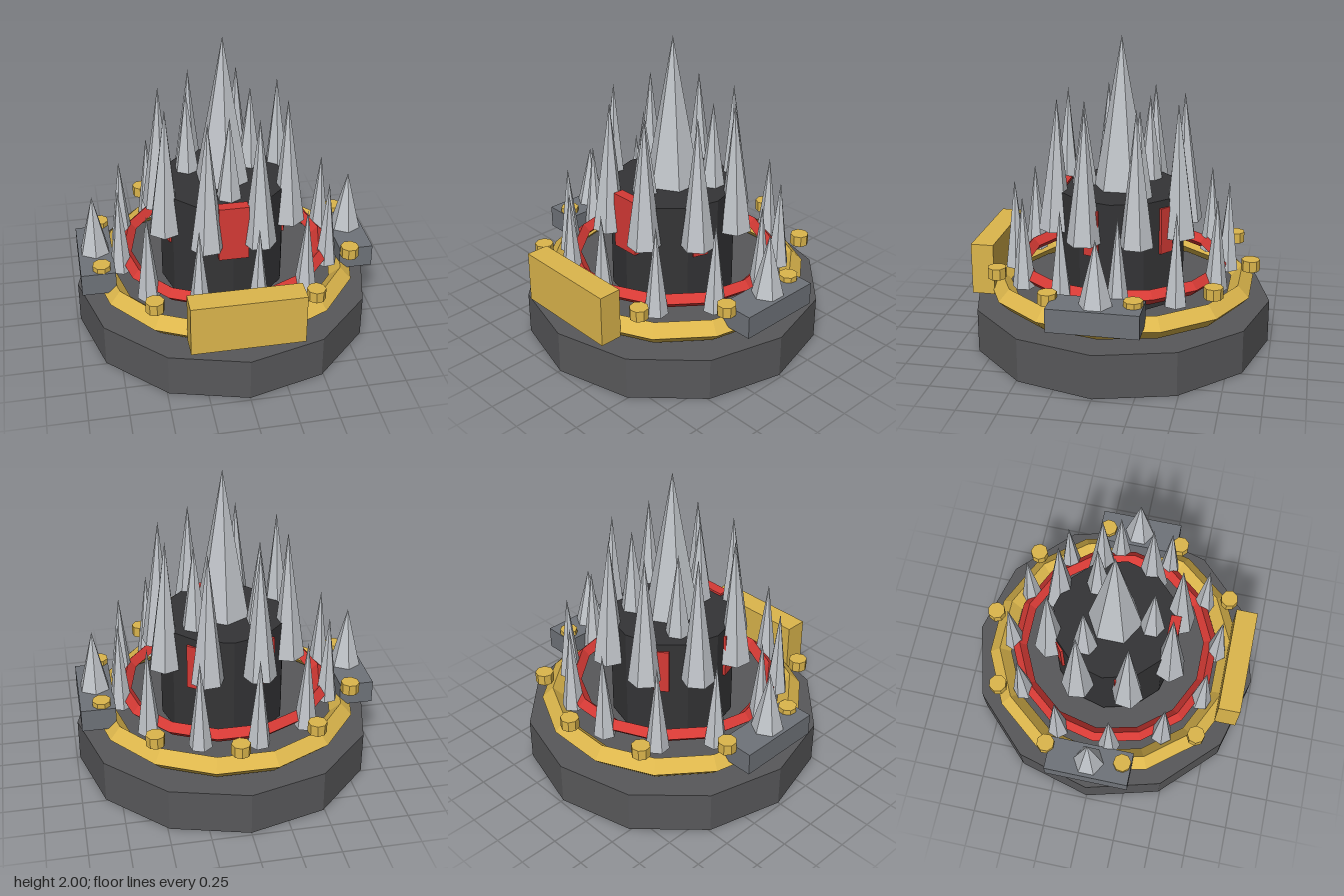
import * as THREE from 'three';

const material = (color) => new THREE.MeshStandardMaterial({ color, flatShading: true });

export function createModel() {
  const model = new THREE.Group();
  const stone = material(0x58585a);
  const dark = material(0x343436);
  const gold = material(0xdcb64c);
  const red = material(0xd63a35);
  const steel = material(0xc2c6cb);
  const slate = material(0x6f7379);

  function add(name, geometry, mat, x, y, z) {
    const mesh = new THREE.Mesh(geometry, mat);
    mesh.name = name;
    mesh.position.set(x, y, z);
    model.add(mesh);
    return mesh;
  }

  // Six-sided spike standing on bottom and ending at tip
  function spike(name, x, z, radius, bottom, tip) {
    return add(name, new THREE.ConeGeometry(radius, tip - bottom, 6), steel, x, (bottom + tip) / 2, z);
  }

  // Flat ring with a diamond cross-section
  function ring(name, radius, tube, mat, y) {
    add(name, new THREE.TorusGeometry(radius, tube, 4, 14).rotateX(Math.PI / 2), mat, 0, y, 0);
  }

  // Calls fn(x, z, angle) for points round the middle, angle from +x towards +z
  function around(count, radius, startDegrees, fn) {
    for (let i = 0; i < count; i++) {
      const a = THREE.MathUtils.degToRad(startDegrees) + (i / count) * Math.PI * 2;
      fn(Math.cos(a) * radius, Math.sin(a) * radius, a);
    }
  }

  // Base, rings and core
  add('base', new THREE.CylinderGeometry(0.98, 0.98, 0.285, 12), stone, 0, 0.1425, 0);
  ring('goldRing', 0.805, 0.074, gold, 0.379);
  ring('redRing', 0.658, 0.048, red, 0.512);
  add('core', new THREE.CylinderGeometry(0.41, 0.41, 0.71, 12), dark, 0, 0.665, 0);

  // Spikes: centre, three on the core, eight round the core, twelve on the rim
  spike('centreSpike', 0, 0, 0.183, 1.0, 2.0);
  for (const [x, z] of [[0, 0.245], [0.208, -0.152], [-0.208, -0.152]]) {
    spike('crownSpike', x, z, 0.087, 0.98, 1.575);
  }
  around(8, 0.427, 22.5, (x, z, a) => {
    const s = spike('coreSpike', x, z, 0.108, 0.76, 1.62);
    s.rotation.order = 'YXZ';
    s.rotation.set(-0.025, Math.PI / 2 - a, 0); // slight inward lean
  });
  around(12, 0.698, -8.4, (x, z, a) => {
    spike('rimSpike', x, z, 0.075, 0.455, 1.05).rotation.y = -a;
  });

  // Gold studs
  around(10, 0.853, -15, (x, z, a) => {
    add('stud', new THREE.CylinderGeometry(0.06, 0.06, 0.072, 8), gold, x, 0.549, z).rotation.y = -a;
  });

  // Red panels on the core, the front one larger
  add('frontPanel', new THREE.BoxGeometry(0.19, 0.375, 0.07), red, 0, 0.8475, 0.385);
  around(5, 0.377, 90, (x, z, a) => {
    if (z > 0.3) return;
    add('sidePanel', new THREE.BoxGeometry(0.1, 0.3, 0.07), red, x, 0.82, z).rotation.y = Math.PI / 2 - a;
  });

  // Front plate and side blocks with their spikes
  add('frontPlate', new THREE.BoxGeometry(0.714, 0.336, 0.147), gold, 0, 0.514, 0.846);
  for (const side of [1, -1]) {
    add('sideBlock', new THREE.BoxGeometry(0.222, 0.15, 0.564), slate, side * 0.85, 0.475, 0);
    spike('sideSpike', side * 0.85, 0, 0.102, 0.55, 0.957);
  }
  return model;
}
